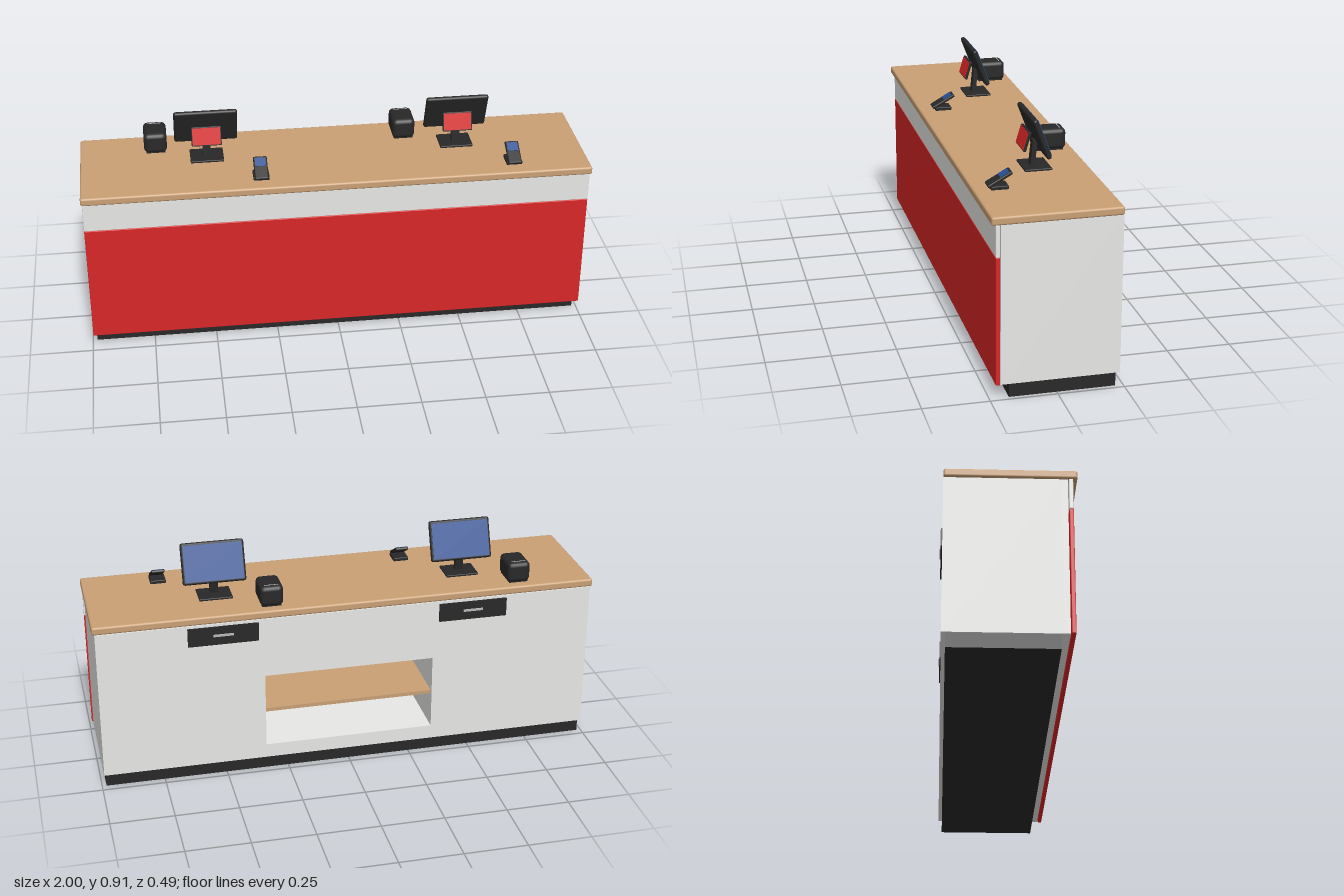
import * as THREE from 'three';
import { RoundedBoxGeometry } from 'three/addons/geometries/RoundedBoxGeometry.js';

const material = (name, color) => {
  const m = new THREE.MeshStandardMaterial({ color });
  m.name = name;
  return m;
};

export function createModel() {
  const white = material('white laminate', 0xe8e8e6);
  const red = material('red', 0xd92626);
  const wood = material('wood', 0xc9a075);
  const black = material('black', 0x282828);
  const blue = material('screen blue', 0x264f94);
  const silver = material('silver', 0xb8b8b8);

  const model = new THREE.Group();
  model.name = 'serviceCounter';

  // Box by size and centre; a radius rounds its edges
  const box = (parent, name, mat, size, pos, radius = 0, tilt = 0) => {
    const geo = radius
      ? new RoundedBoxGeometry(...size, 2, radius)
      : new THREE.BoxGeometry(...size);
    const mesh = new THREE.Mesh(geo, mat);
    mesh.name = name;
    mesh.position.set(...pos);
    mesh.rotation.x = tilt;
    parent.add(mesh);
    return mesh;
  };
  const group = (parent, name, pos, tilt = 0) => {
    const g = new THREE.Group();
    g.name = name;
    g.position.set(...pos);
    g.rotation.x = tilt;
    parent.add(g);
    return g;
  };

  // Cabinet with an open niche at the back
  const outline = (Type, x, y0, y1) => new Type([
    new THREE.Vector2(-x, y0), new THREE.Vector2(x, y0),
    new THREE.Vector2(x, y1), new THREE.Vector2(-x, y1),
  ]);
  const carcass = outline(THREE.Shape, 0.99, 0.055, 0.666);
  carcass.holes.push(outline(THREE.Path, 0.34, 0.112, 0.42));
  const cabinet = new THREE.Mesh(
    new THREE.ExtrudeGeometry(carcass, { depth: 0.425, bevelEnabled: false }), white);
  cabinet.name = 'cabinet';
  cabinet.position.z = -0.235;
  model.add(cabinet);
  box(model, 'cabinetFront', white, [1.98, 0.611, 0.02], [0, 0.3605, 0.2]);
  box(model, 'nicheShelf', wood, [0.68, 0.015, 0.41], [0, 0.262, -0.018]);

  // Plinth, front panels and worktop
  box(model, 'plinth', black, [1.966, 0.055, 0.398], [0, 0.0275, -0.021]);
  box(model, 'redFrontPanel', red, [1.99, 0.489, 0.016], [0, 0.3, 0.221], 0.003);
  box(model, 'upperFrontPanel', white, [1.99, 0.121, 0.016], [0, 0.6055, 0.221], 0.003);
  box(model, 'worktop', wood, [2, 0.032, 0.48], [0, 0.682, 0.005], 0.008);

  // Two identical till stations
  for (const x of [-0.5, 0.5]) {
    const station = group(model, 'tillStation', [x, 0, 0]);

    // Cash drawer front on the back of the cabinet
    box(station, 'drawerFront', black, [0.276, 0.075, 0.008], [0, 0.618, -0.238]);
    box(station, 'drawerHandle', silver, [0.08, 0.009, 0.005], [0, 0.62, -0.2435]);

    // Monitor on its stand
    box(station, 'monitorBase', black, [0.132, 0.009, 0.105], [0, 0.702, -0.037], 0.003);
    box(station, 'monitorNeck', black, [0.032, 0.1, 0.018], [0, 0.752, -0.031], 0, -0.1);
    const monitor = group(station, 'monitor', [0, 0.837, -0.036], 0.365);
    box(monitor, 'monitorCase', black, [0.25, 0.164, 0.02], [0, 0, 0], 0.009);
    box(monitor, 'monitorScreen', blue, [0.232, 0.144, 0.003], [0, 0, -0.0105]);

    // Small display turned to the customer
    const display = group(station, 'customerDisplay', [0, 0.811, 0.005], -0.29);
    box(display, 'displayCase', black, [0.118, 0.077, 0.011], [0, 0, 0], 0.003);
    box(display, 'displayFace', red, [0.11, 0.068, 0.002], [0, 0, 0.006]);

    // Receipt printer
    const printer = group(station, 'receiptPrinter', [-0.2, 0.697, -0.142]);
    box(printer, 'printerFoot', black, [0.076, 0.008, 0.105], [0, 0.004, 0]);
    box(printer, 'printerCase', black, [0.091, 0.082, 0.125], [0, 0.045, 0], 0.018);
    box(printer, 'paperSlot', silver, [0.056, 0.002, 0.004], [0, 0.0858, -0.04]);

    // Card terminal
    const terminal = group(station, 'cardTerminal', [0.2, 0, 0]);
    box(terminal, 'terminalBase', black, [0.062, 0.015, 0.066], [0, 0.704, 0.15], 0.003);
    const handset = group(terminal, 'handset', [0, 0.733, 0.148], 0.51);
    box(handset, 'handsetCase', black, [0.054, 0.013, 0.103], [0, 0, 0], 0.005);
    box(handset, 'handsetScreen', blue, [0.042, 0.002, 0.038], [0, 0.007, -0.024]);
  }
  return model;
}
